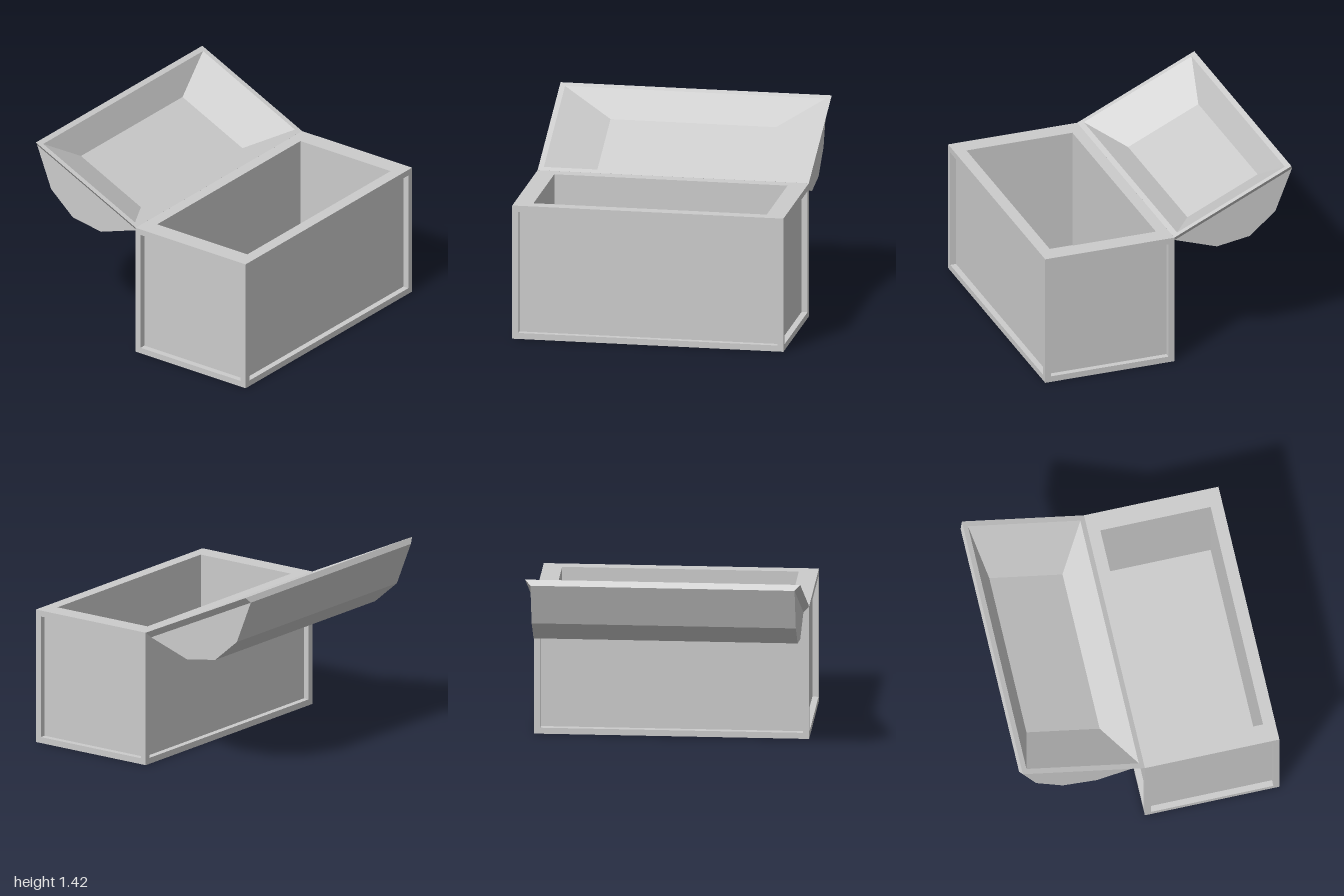
import * as THREE from 'three';

const material = new THREE.MeshStandardMaterial({ color: 0xcccccc, flatShading: true });

// Counter-clockwise rectangle facing +z
const rect = (w, h, z) => [[-w / 2, -h / 2, z], [w / 2, -h / 2, z], [w / 2, h / 2, z], [-w / 2, h / 2, z]];

// Skins a list of equal-length rings; optionally closes each ring and caps the last one
function skin(rings, closed = true, cap = true) {
  const pos = [];
  const n = rings[0].length;
  for (let i = 0; i < rings.length - 1; i++) {
    for (let j = 0; j < (closed ? n : n - 1); j++) {
      const k = (j + 1) % n;
      const [a, b, c, d] = [rings[i][j], rings[i][k], rings[i + 1][k], rings[i + 1][j]];
      pos.push(...a, ...b, ...c, ...a, ...c, ...d);
    }
  }
  const last = rings[rings.length - 1];
  if (cap) for (let j = 1; j < n - 1; j++) pos.push(...last[0], ...last[j], ...last[j + 1]);
  const geometry = new THREE.BufferGeometry();
  geometry.setAttribute('position', new THREE.Float32BufferAttribute(pos, 3));
  geometry.computeVertexNormals();
  return geometry;
}

function addMesh(parent, name, geometry) {
  const mesh = new THREE.Mesh(geometry, material);
  mesh.name = name;
  parent.add(mesh);
  return mesh;
}

// Framed wall with a recessed panel
function panelWall(w, h) {
  const b = 0.09, depth = 0.045;
  return skin([rect(w, h, 0), rect(w - b, h - b, 0), rect(w - b, h - b, -depth)]);
}

export function createModel() {
  const model = new THREE.Group();
  model.name = 'openChest';
  const W = 1, H = 1, L = 2;

  // Body: four framed walls, hollow inside and a flat base
  const body = new THREE.Group();
  body.name = 'chestBody';
  body.position.x = 0.46;
  model.add(body);
  const walls = ['frontWall', 'leftWall', 'backWall', 'rightWall'];
  walls.forEach((name, i) => {
    const side = i % 2 === 1;
    const geometry = panelWall(side ? L : W, H);
    geometry.translate(0, H / 2, side ? W / 2 : L / 2);
    addMesh(body, name, geometry.rotateY(i * Math.PI / 2));
  });
  const inside = skin([rect(W, L, H), rect(0.82, 1.72, H), rect(0.82, 1.72, 0.09)]);
  addMesh(body, 'rimAndInside', inside.rotateX(-Math.PI / 2));
  addMesh(body, 'base', skin([rect(W, L, 0)]).rotateX(Math.PI / 2));

  // Lid: swung open about the upper right edge of the body
  const lid = new THREE.Group();
  lid.name = 'lid';
  lid.position.set(-0.4935, 1.2105, 0);
  lid.rotation.z = -0.434;
  model.add(lid);

  // Bevelled rim running into the tapered hollow
  const hollow = skin([
    rect(W, 1.92, -0.045), rect(W, L, 0), rect(0.92, 1.92, 0), rect(0.6, 1.22, -0.158),
  ]);
  addMesh(lid, 'lidRimAndHollow', hollow.rotateX(-Math.PI / 2));

  // Faceted outer shell with flat ends
  const profile = [[-0.5, -0.045], [-0.25, -0.281], [0, -0.352], [0.25, -0.281], [0.5, -0.045]];
  const section = (z) => profile.map(([x, y]) => [x, y, z]);
  addMesh(lid, 'lidShell', skin([section(-0.96), section(0.96)], false, false));
  addMesh(lid, 'lidFrontEnd', skin([section(0.96)]));
  addMesh(lid, 'lidBackEnd', skin([section(-0.96).reverse()]));

  return model;
}
